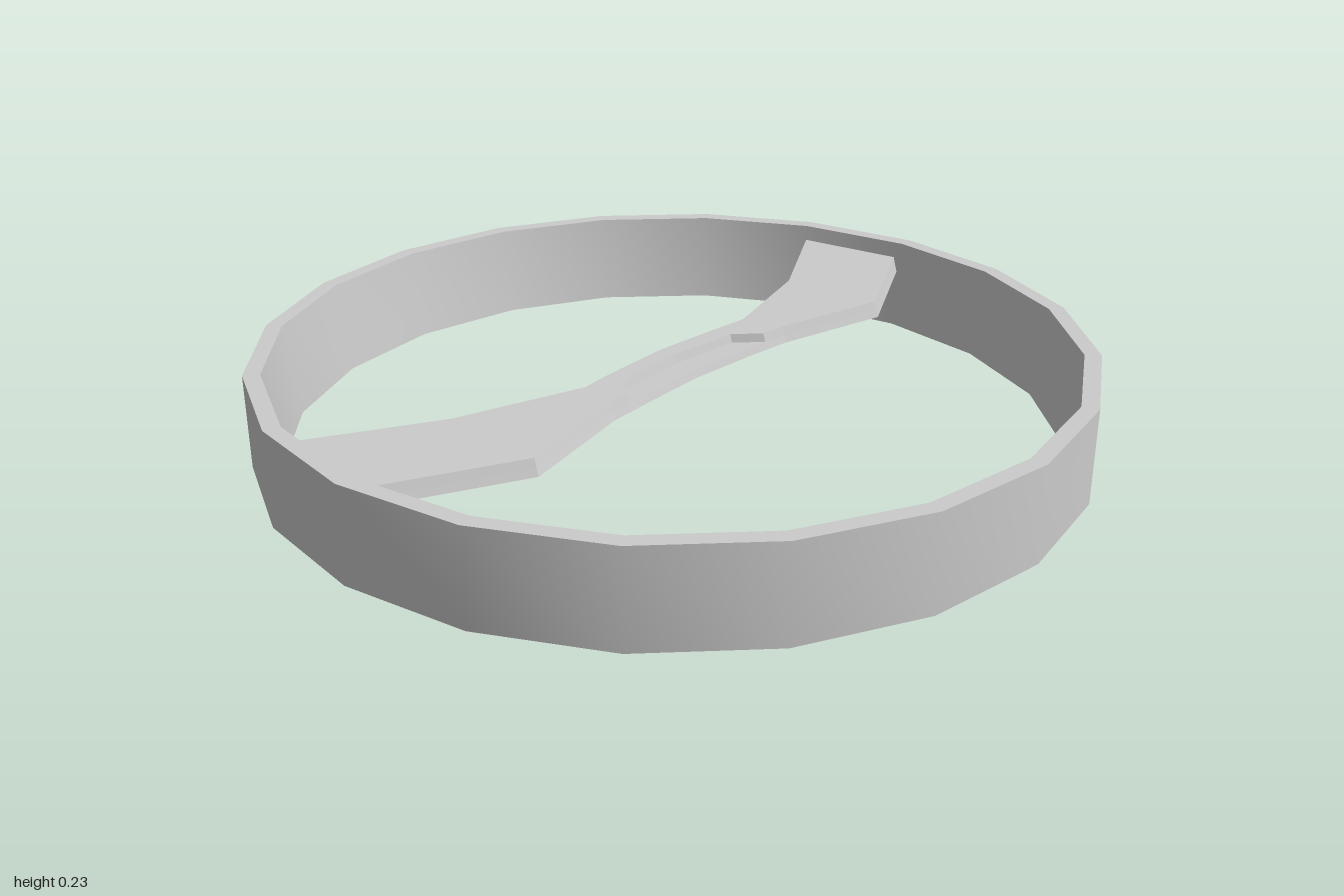
import * as THREE from 'three';
import { toCreasedNormals } from 'three/addons/utils/BufferGeometryUtils.js';

const SIDES = 20;
const Y_BOTTOM = 0.153, Y_STEP = 0.172, Y_TOP = 0.193; // heights of the bar
const FLARE = 0.012; // the bar widens slightly toward its underside

// Stations along the bar: left x, left z, right x, right z, right x of the upper layer
const STATIONS = [
  [-0.32, -0.89, -0.045, -0.94, -0.045],
  [-0.135, -0.59, 0.13, -0.62, 0.13],
  [-0.035, -0.29, 0.07, -0.32, 0.07],
  [-0.037, -0.24, 0.066, -0.25, 0.066],
  [-0.04, -0.19, 0.063, -0.19, 0.01],
  [-0.045, 0, 0.06, 0, 0],
  [-0.027, 0.19, 0.078, 0.19, 0.02],
  [-0.02, 0.24, 0.084, 0.24, 0.084],
  [-0.013, 0.28, 0.09, 0.3, 0.09],
  [-0.1, 0.6, 0.175, 0.605, 0.175],
  [-0.255, 0.905, 0.025, 0.94, 0.025],
];

// Six-cornered section, counter-clockwise seen from +z
function section([xl, zl, xr, zr, xn]) {
  return [
    [xl - FLARE, Y_BOTTOM, zl],
    [xr + FLARE, Y_BOTTOM, zr],
    [xr + FLARE / 2, Y_STEP, zr],
    [xn + FLARE / 2, Y_STEP, zr],
    [xn, Y_TOP, zr],
    [xl, Y_TOP, zl],
  ];
}

// Closed, flat-faced skin over a row of sections
function loft(sections) {
  const positions = [];
  const tri = (a, b, c) => positions.push(...a, ...b, ...c);
  const n = sections[0].length;
  for (let i = 0; i < sections.length - 1; i++) {
    const s = sections[i], t = sections[i + 1];
    for (let j = 0; j < n; j++) {
      const k = (j + 1) % n;
      tri(s[j], s[k], t[k]);
      tri(s[j], t[k], t[j]);
    }
  }
  const first = sections[0], last = sections[sections.length - 1];
  for (let j = 1; j < n - 1; j++) {
    tri(first[0], first[j + 1], first[j]);
    tri(last[0], last[j], last[j + 1]);
  }
  const geometry = new THREE.BufferGeometry();
  geometry.setAttribute('position', new THREE.Float32BufferAttribute(positions, 3));
  geometry.computeVertexNormals();
  return geometry;
}

export function createModel() {
  const model = new THREE.Group();
  model.name = 'ringWithCrossbar';

  // Rim with an upright outer wall and a sloping inner wall
  const profile = [[0.93, 0], [1, 0], [1, 0.23], [0.96, 0.23], [0.93, 0]]
    .map(([r, y]) => new THREE.Vector2(r, y));
  const rim = new THREE.Mesh(
    toCreasedNormals(new THREE.LatheGeometry(profile, SIDES), 0.6),
    new THREE.MeshStandardMaterial({ color: 0xcccccc })
  );
  rim.name = 'rim';
  rim.rotation.y = 0.035;
  model.add(rim);

  // Waisted bar across the rim, with a step cut along one side of its middle
  const crossbar = new THREE.Mesh(
    loft(STATIONS.map(section)),
    new THREE.MeshStandardMaterial({ color: 0xcccccc, flatShading: true })
  );
  crossbar.name = 'crossbar';
  model.add(crossbar);

  return model;
}
